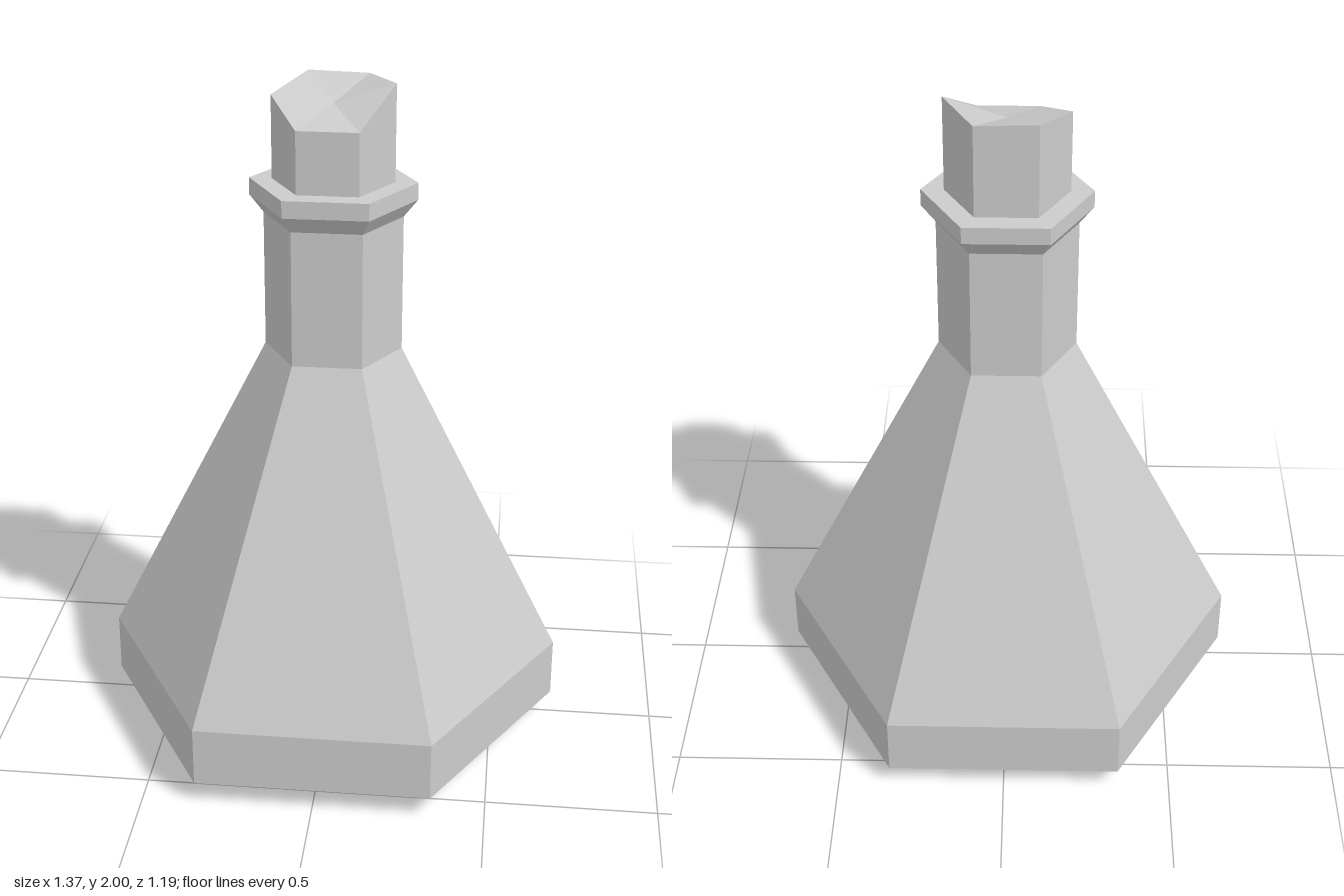
import * as THREE from 'three';

const SIDES = 6;
const material = new THREE.MeshStandardMaterial({ color: 0xcccccc, flatShading: true });

function addMesh(group, name, geometry) {
  const mesh = new THREE.Mesh(geometry, material);
  mesh.name = name;
  group.add(mesh);
  return mesh;
}

// Six-sided turned solid with a corner on +x; profile is [radius, y] from bottom to top
function hexLathe(profile) {
  const points = profile.map(([r, y]) => new THREE.Vector2(r, y));
  return new THREE.LatheGeometry(points, SIDES, Math.PI / 2);
}

// Hexagonal plug whose top rim corners have uneven heights
function roughPlug(radius, base, rimHeights, centreHeight) {
  const geometry = new THREE.CylinderGeometry(radius, radius, 1, SIDES, 1, false, Math.PI / 2);
  const pos = geometry.attributes.position;
  for (let i = 0; i < pos.count; i++) {
    const x = pos.getX(i), z = pos.getZ(i);
    let y = base;
    if (pos.getY(i) > 0) {
      const corner = (Math.round(Math.atan2(z, x) / (Math.PI / 3)) + SIDES) % SIDES;
      y = Math.hypot(x, z) < 0.01 ? centreHeight : rimHeights[corner];
    }
    pos.setY(i, y);
  }
  geometry.computeVertexNormals();
  return geometry;
}

export function createModel() {
  const bottle = new THREE.Group();
  bottle.name = 'bottle';

  // Bevelled foot, straight band, sloping shoulders, neck and flared lip
  addMesh(bottle, 'flask', hexLathe([
    [0, 0], [0.56, 0], [0.687, 0.07], [0.687, 0.25],
    [0.2, 1.22], [0.2, 1.62], [0.24, 1.67], [0.24, 1.72], [0, 1.72],
  ]));

  // Rim corners run from +x towards +z (front), then round the back
  addMesh(bottle, 'stopper',
    roughPlug(0.175, 1.72, [2, 1.9, 1.9, 1.96, 1.995, 1.99], 1.94));

  return bottle;
}
